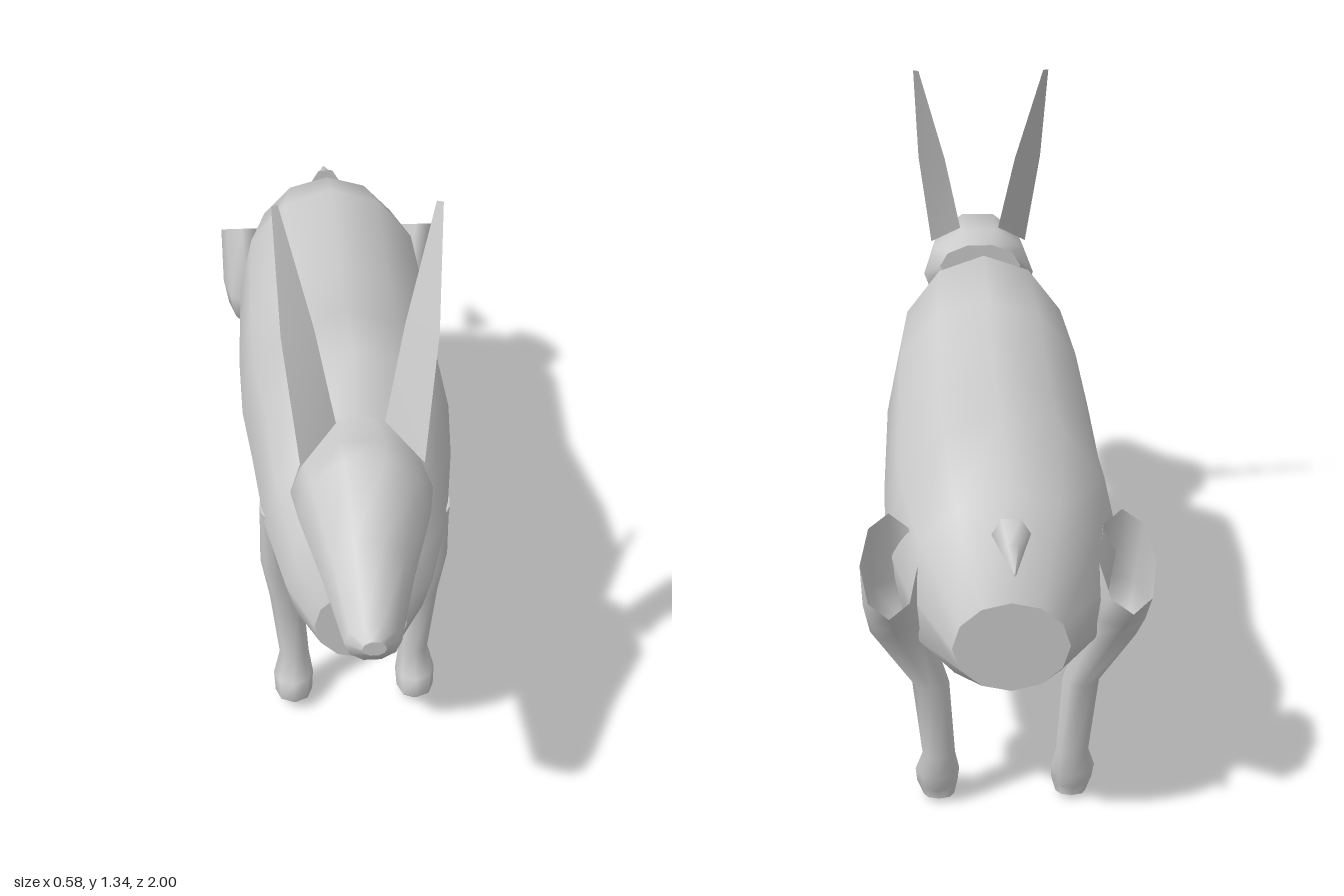
import * as THREE from 'three';

const grey = () => new THREE.MeshStandardMaterial({ color: 0xcccccc, side: THREE.DoubleSide });

// Skin a list of rings (arrays of [x, y, z]); the ends can be closed with flat fans.
function skin(name, rings, capStart = true, capEnd = true) {
  const n = rings[0].length;
  const pos = rings.flat(2);
  const index = [];
  for (let i = 0; i < rings.length - 1; i++) {
    for (let j = 0; j < n; j++) {
      const k = (j + 1) % n;
      const a = i * n + j, b = i * n + k, c = a + n, d = b + n;
      index.push(a, c, b, b, c, d);
    }
  }
  const cap = (ring, flip) => {
    const start = pos.length / 3;
    const mid = [0, 1, 2].map((q) => ring.reduce((s, p) => s + p[q], 0) / n);
    pos.push(...mid, ...ring.flat());
    for (let j = 0; j < n; j++) {
      const a = start + 1 + j, b = start + 1 + ((j + 1) % n);
      index.push(start, flip ? b : a, flip ? a : b);
    }
  };
  if (capStart) cap(rings[0], false);
  if (capEnd) cap(rings[rings.length - 1], true);
  const geo = new THREE.BufferGeometry();
  geo.setAttribute('position', new THREE.Float32BufferAttribute(pos, 3));
  geo.setIndex(index);
  geo.computeVertexNormals();
  const mesh = new THREE.Mesh(geo, grey());
  mesh.name = name;
  return mesh;
}

const soft = (v, p) => Math.sign(v) * Math.abs(v) ** p;

// Upright ring: z of its top, top y, z of its bottom, bottom y, half width,
// and a power under 1 that flattens the underside.
function crossRing([zt, yt, zb, yb, rx, power = 1], n) {
  return Array.from({ length: n }, (_, j) => {
    const t = (j / n) * Math.PI * 2;
    const p = Math.sin(t) < 0 ? power : 1;
    const s = soft(Math.sin(t), p), f = (s + 1) / 2;
    return [rx * soft(Math.cos(t), p), yb + (yt - yb) * f, zb + (zt - zb) * f];
  });
}

// Level ring for limbs: centre x, y, z, half sizes in x and z, and rise at the front.
function limbRing([x, y, z, rx, rz, rise = 0], side, n) {
  return Array.from({ length: n }, (_, j) => {
    const t = (j / n) * Math.PI * 2;
    const c = Math.cos(t), s = -Math.sin(t);
    return [side * x + rx * c, y + rise * s, z + rz * s];
  });
}

// Lower leg and foot shared by all limbs; z is relative to the shank.
const foot = (z) => [
  [0.14, 0.12, z, 0.034, 0.028],
  [0.143, 0.07, z + 0.018, 0.046, 0.047],
  [0.143, 0.03, z + 0.035, 0.043, 0.046],
  [0.14, 0.006, z + 0.02, 0.032, 0.03, -0.006],
];

function ear(side) {
  // Base, middle and tip, each as an inner and an outer edge point
  const edge = [
    [0.05, 0.905, 0.58], [0.125, 0.85, 0.65],
    [0.09, 1.1, 0.53], [0.157, 1.1, 0.56],
    [0.155, 1.34, 0.455], [0.168, 1.34, 0.46],
  ];
  const geo = new THREE.BufferGeometry();
  geo.setAttribute('position', new THREE.Float32BufferAttribute(edge.flatMap(([x, y, z]) => [side * x, y, z]), 3));
  const faces = [];
  for (let i = 0; i < 4; i += 2) faces.push(i, i + 1, i + 2, i + 1, i + 3, i + 2);
  geo.setIndex(side > 0 ? faces : faces.reverse());
  geo.computeVertexNormals();
  return new THREE.Mesh(geo, grey());
}

export function createModel() {
  const model = new THREE.Group();
  model.name = 'animal';

  // Body, from chest to rump
  const body = [
    [0.63, 0.5, 0.63, 0.31, 0.1],
    [0.57, 0.63, 0.57, 0.322, 0.16],
    [0.46, 0.77, 0.46, 0.335, 0.2],
    [0.31, 0.905, 0.31, 0.33, 0.222],
    [0.08, 0.86, 0.08, 0.31, 0.243],
    [-0.25, 0.78, -0.25, 0.245, 0.25, 0.8],
    [-0.57, 0.823, -0.57, 0.245, 0.243, 0.8],
    [-0.79, 0.745, -0.78, 0.32, 0.2, 0.9],
    [-0.9, 0.56, -0.9, 0.37, 0.115],
  ];
  model.add(skin('body', body.map((r) => crossRing(r, 12))));

  // Neck, tilted between chest and skull
  const neck = [
    [0.53, 0.83, 0.62, 0.65, 0.12],
    [0.505, 0.82, 0.59, 0.615, 0.137],
    [0.46, 0.785, 0.55, 0.61, 0.137],
    [0.4, 0.74, 0.48, 0.66, 0.12],
  ];
  model.add(skin('neck', neck.map((r) => crossRing(r, 8))));

  // Head, from nose to the back of the skull
  const head = [
    [1.0, 0.695, 1.0, 0.66, 0.024],
    [0.97, 0.715, 0.945, 0.597, 0.056],
    [0.83, 0.803, 0.84, 0.61, 0.09],
    [0.71, 0.915, 0.72, 0.627, 0.133],
    [0.62, 0.894, 0.63, 0.643, 0.146],
    [0.52, 0.876, 0.52, 0.76, 0.105],
  ];
  model.add(skin('head', head.map((r) => crossRing(r, 10))));

  // Small tail
  const tail = [
    [-0.87, 0.728, -0.87, 0.655, 0.038],
    [-0.93, 0.698, -0.93, 0.658, 0.02],
    [-1.0, 0.672, -1.0, 0.666, 0.002],
  ];
  model.add(skin('tail', tail.map((r) => crossRing(r, 6))));

  const foreLeg = [
    [0.2, 0.57, 0.407, 0.01, 0.047],
    [0.172, 0.4, 0.395, 0.04, 0.056],
    [0.155, 0.29, 0.392, 0.038, 0.032],
    ...foot(0.393),
  ];
  // The thigh is an open shell set against the rump
  const hindLeg = [
    [0.235, 0.592, -0.79, 0.057, 0.11, 0.062],
    [0.225, 0.47, -0.72, 0.065, 0.12, 0],
    [0.215, 0.405, -0.71, 0.062, 0.08, -0.015],
    [0.155, 0.29, -0.715, 0.038, 0.036],
    ...foot(-0.71),
  ];

  // Mirrored parts
  for (const [side, label] of [[1, 'left'], [-1, 'right']]) {
    model.add(skin(label + 'FrontLeg', foreLeg.map((r) => limbRing(r, side, 8))));
    model.add(skin(label + 'HindLeg', hindLeg.map((r) => limbRing(r, side, 8)), false));
    const e = ear(side);
    e.name = label + 'Ear';
    model.add(e);
  }
  return model;
}
